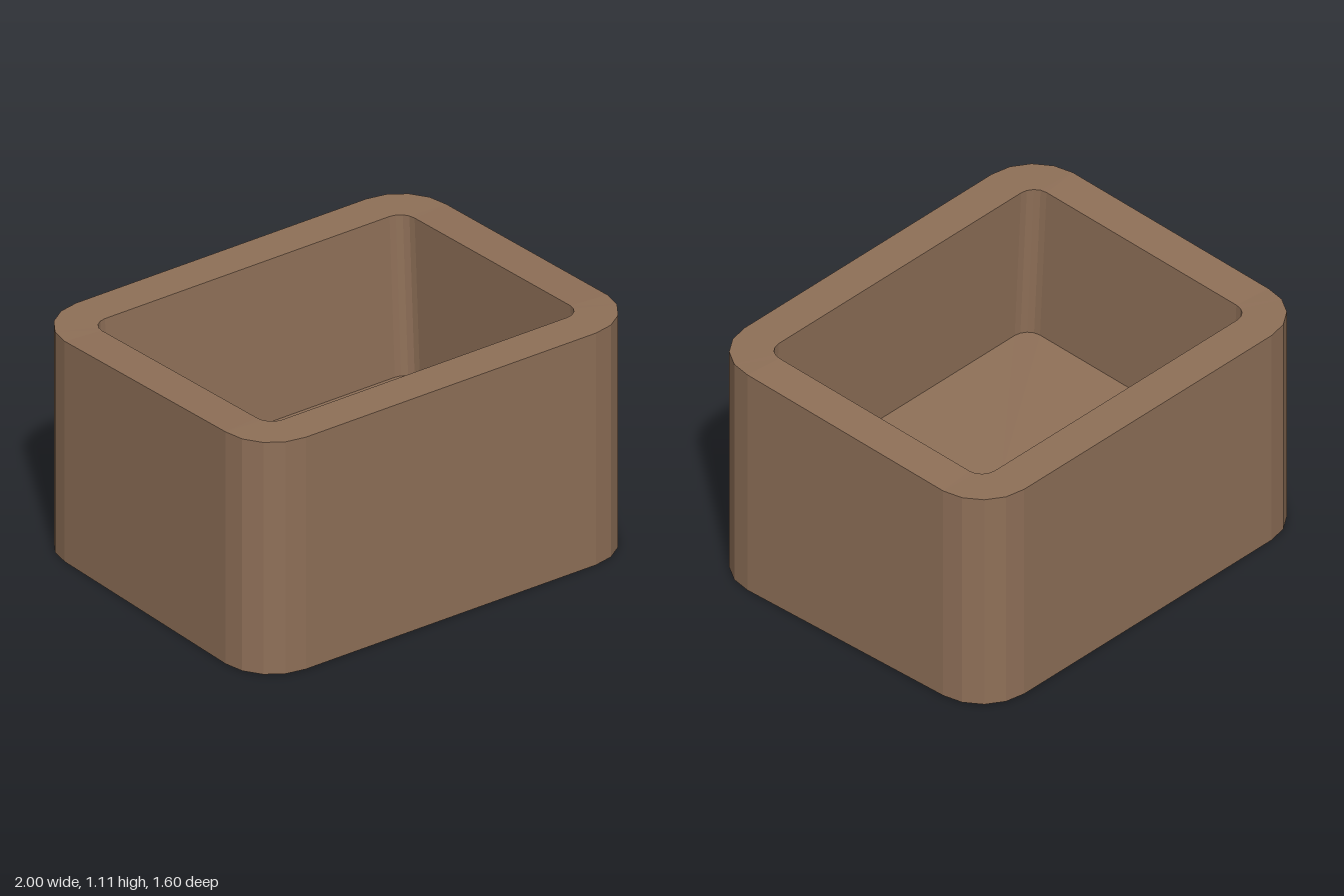
import * as THREE from 'three';

const SEGMENTS = 4;

// Rim height: level at front and back, sloping down towards the back between
const rimHeight = (z) => THREE.MathUtils.mapLinear(THREE.MathUtils.clamp(z, -0.56, 0.56), -0.56, 0.56, 1.05, 1.105);

// Rounded rectangle, counter-clockwise seen from above
function roundedLoop(halfX, halfZ, radius, height) {
  const points = [];
  for (let corner = 0; corner < 4; corner++) {
    const sx = corner === 0 || corner === 3 ? 1 : -1;
    const sz = corner < 2 ? -1 : 1;
    for (let i = 0; i <= SEGMENTS; i++) {
      const a = (corner + i / SEGMENTS) * Math.PI / 2;
      const x = sx * (halfX - radius) + radius * Math.cos(a);
      const z = sz * (halfZ - radius) - radius * Math.sin(a);
      points.push(new THREE.Vector3(x, height(z), z));
    }
  }
  return points;
}

// Joins consecutive loops with faces; a loop of one point closes a cap
function skin(loops) {
  const positions = [];
  const tri = (...corners) => corners.forEach((p) => positions.push(p.x, p.y, p.z));
  for (let k = 0; k < loops.length - 1; k++) {
    const a = loops[k], b = loops[k + 1];
    const n = Math.max(a.length, b.length);
    for (let i = 0; i < n; i++) {
      const j = (i + 1) % n;
      if (a.length > 1) tri(a[i], a[j], b[j % b.length]);
      if (b.length > 1) tri(a[i % a.length], b[j], b[i]);
    }
  }
  const geometry = new THREE.BufferGeometry();
  geometry.setAttribute('position', new THREE.Float32BufferAttribute(positions, 3));
  geometry.computeVertexNormals();
  return geometry;
}

export function createModel() {
  const group = new THREE.Group();
  group.name = 'planter';

  const base = roundedLoop(1, 0.8, 0.24, () => 0);
  const outerRim = roundedLoop(1, 0.8, 0.24, rimHeight);
  const innerRim = roundedLoop(0.82, 0.618, 0.075, rimHeight);

  // The cavity is sunk square to the sloping rim, so its walls lean forward
  const sink = new THREE.Vector3(0, -0.75, 0.037);
  const floor = innerRim.map((p) => p.clone().add(sink));
  const floorCentre = new THREE.Vector3(0, 1.0775, 0).add(sink);

  const tub = new THREE.Mesh(
    skin([[new THREE.Vector3()], base, outerRim, innerRim, floor, [floorCentre]]),
    new THREE.MeshStandardMaterial({ color: 0x8f7058, flatShading: true })
  );
  tub.name = 'tub';
  group.add(tub);
  return group;
}
